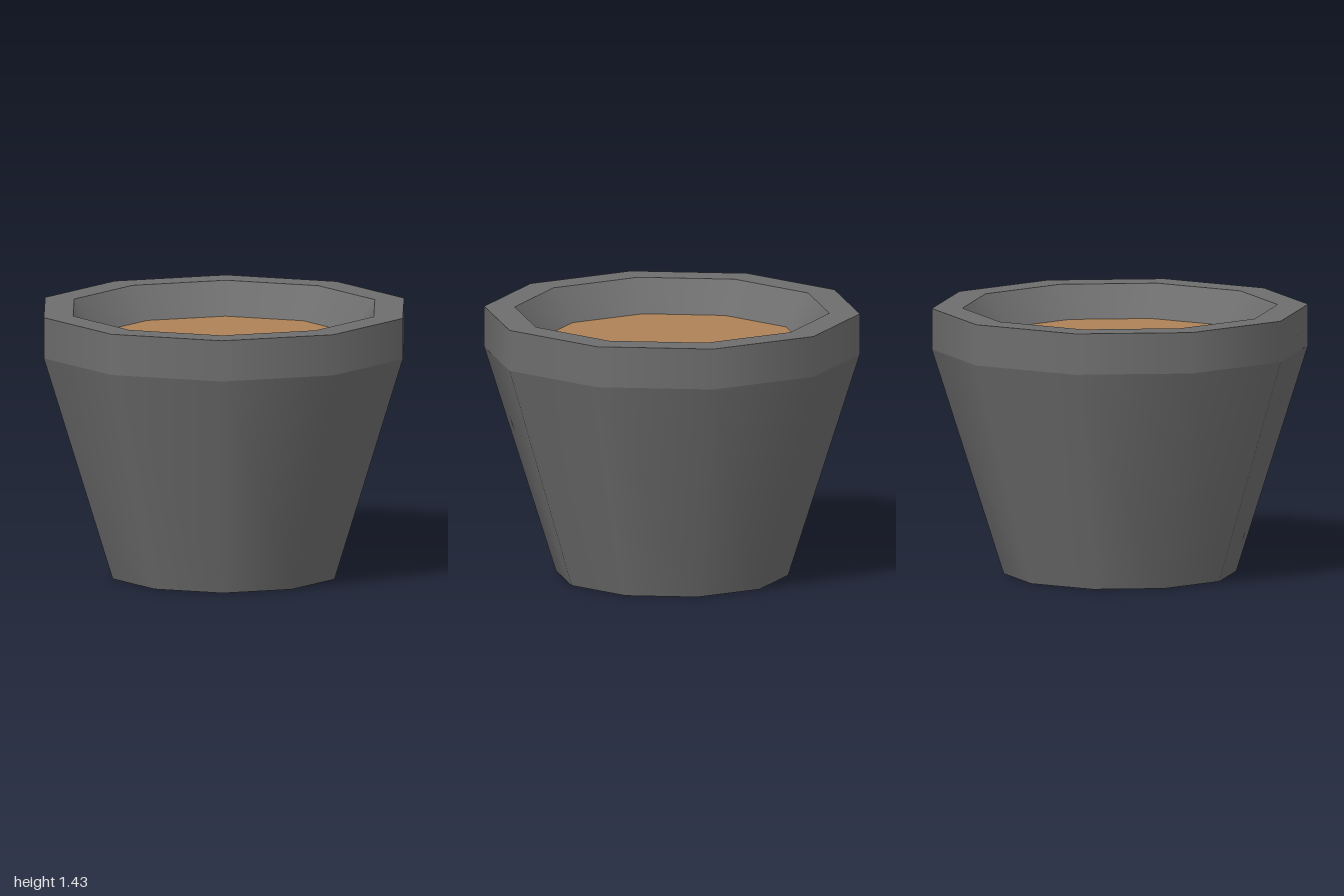
import * as THREE from 'three';

export function createModel() {
  const pot = new THREE.Group();
  pot.name = 'plantPot';

  const clay = new THREE.MeshStandardMaterial({ color: 0x6e6e6e });
  clay.name = 'dark grey clay';
  const earth = new THREE.MeshStandardMaterial({ color: 0xae8256 });
  earth.name = 'brown soil';

  const SIDES = 10;
  const TURN = THREE.MathUtils.degToRad(-6);

  // One ring between two (radius, height) points: smooth around, sharp at its edges
  function ring(name, r0, y0, r1, y1, material) {
    const profile = [new THREE.Vector2(r0, y0), new THREE.Vector2(r1, y1)];
    const mesh = new THREE.Mesh(new THREE.LatheGeometry(profile, SIDES, TURN, Math.PI * 2), material);
    mesh.name = name;
    pot.add(mesh);
  }

  // Outside, from the base up to the rim
  ring('base', 0, 0, 0.62, 0, clay);
  ring('body', 0.62, 0, 1.003, 1.21, clay);
  ring('rimBand', 1.003, 1.21, 1.003, 1.43, clay);
  ring('rimTop', 1.003, 1.43, 0.84, 1.43, clay);

  // Inside, down to the soil
  ring('innerWall', 0.84, 1.43, 0.705, 1.26, clay);
  ring('soil', 0.705, 1.26, 0, 1.26, earth);

  return pot;
}
